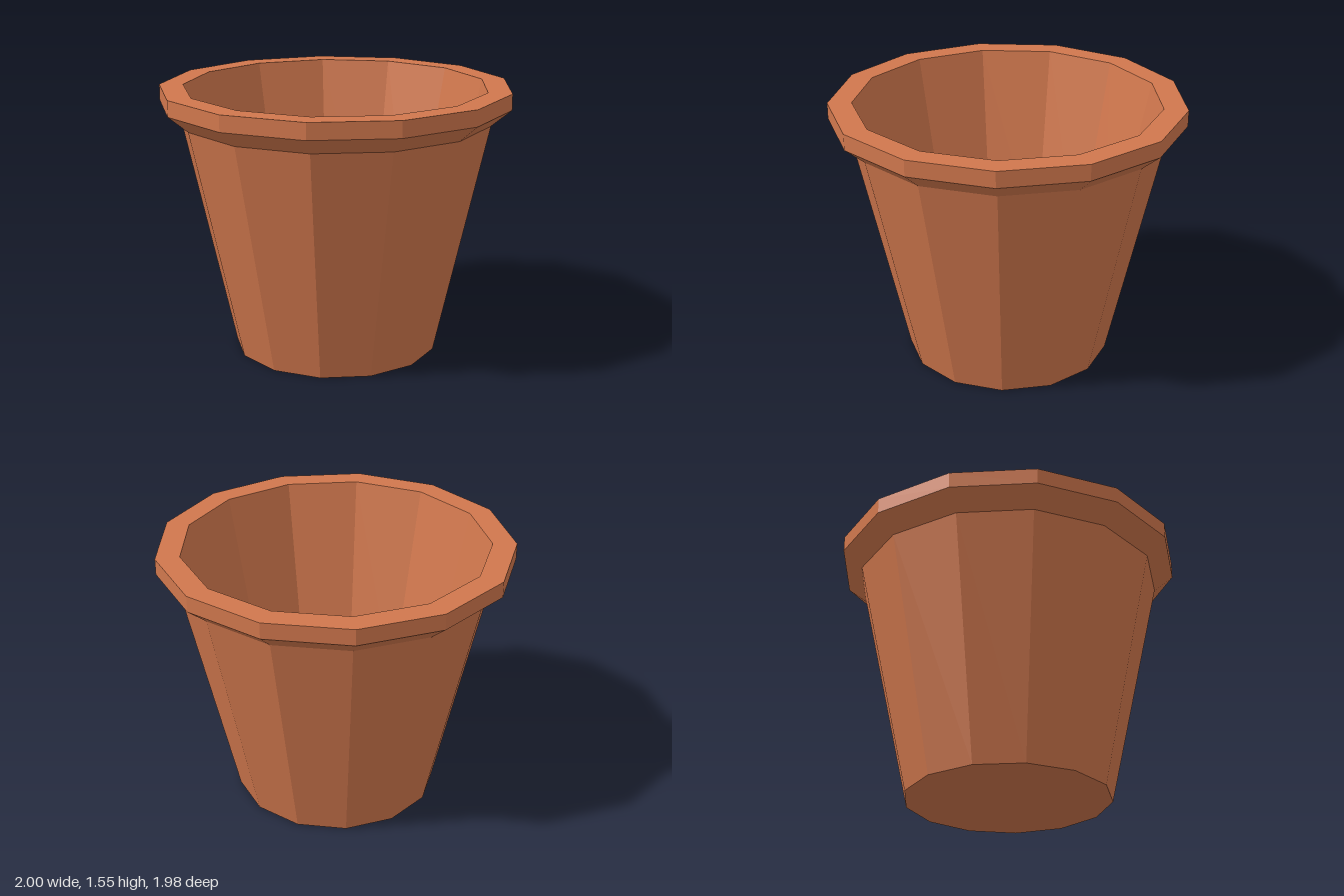
import * as THREE from 'three';

const SIDES = 13;

export function createModel() {
  const group = new THREE.Group();
  group.name = 'flowerPot';
  const clay = new THREE.MeshStandardMaterial({ color: 0xd0774d, flatShading: true });
  const earth = new THREE.MeshStandardMaterial({ color: 0x38251b, flatShading: true });

  // Pot shell: base, tapered wall, flared lip, then the inner wall down to the soil
  const soilY = 0.33, soilR = 0.605;
  const profile = [
    [0, 0], [0.592, 0], [0.893, 1.36], [1.007, 1.455],
    [1.007, 1.547], [0.871, 1.547], [soilR, soilY],
  ].map(([r, y]) => new THREE.Vector2(r, y));
  const pot = new THREE.Mesh(new THREE.LatheGeometry(profile, SIDES, Math.PI), clay);
  pot.name = 'pot';

  // Soil surface inside the pot
  const soil = new THREE.Mesh(
    new THREE.CircleGeometry(soilR, SIDES, Math.PI / 2).rotateX(-Math.PI / 2), earth);
  soil.name = 'soil';
  soil.position.y = soilY;

  group.add(pot, soil);
  // An odd number of sides is uneven front to back, so shift to centre it
  group.position.z = 0.015;
  return group;
}
